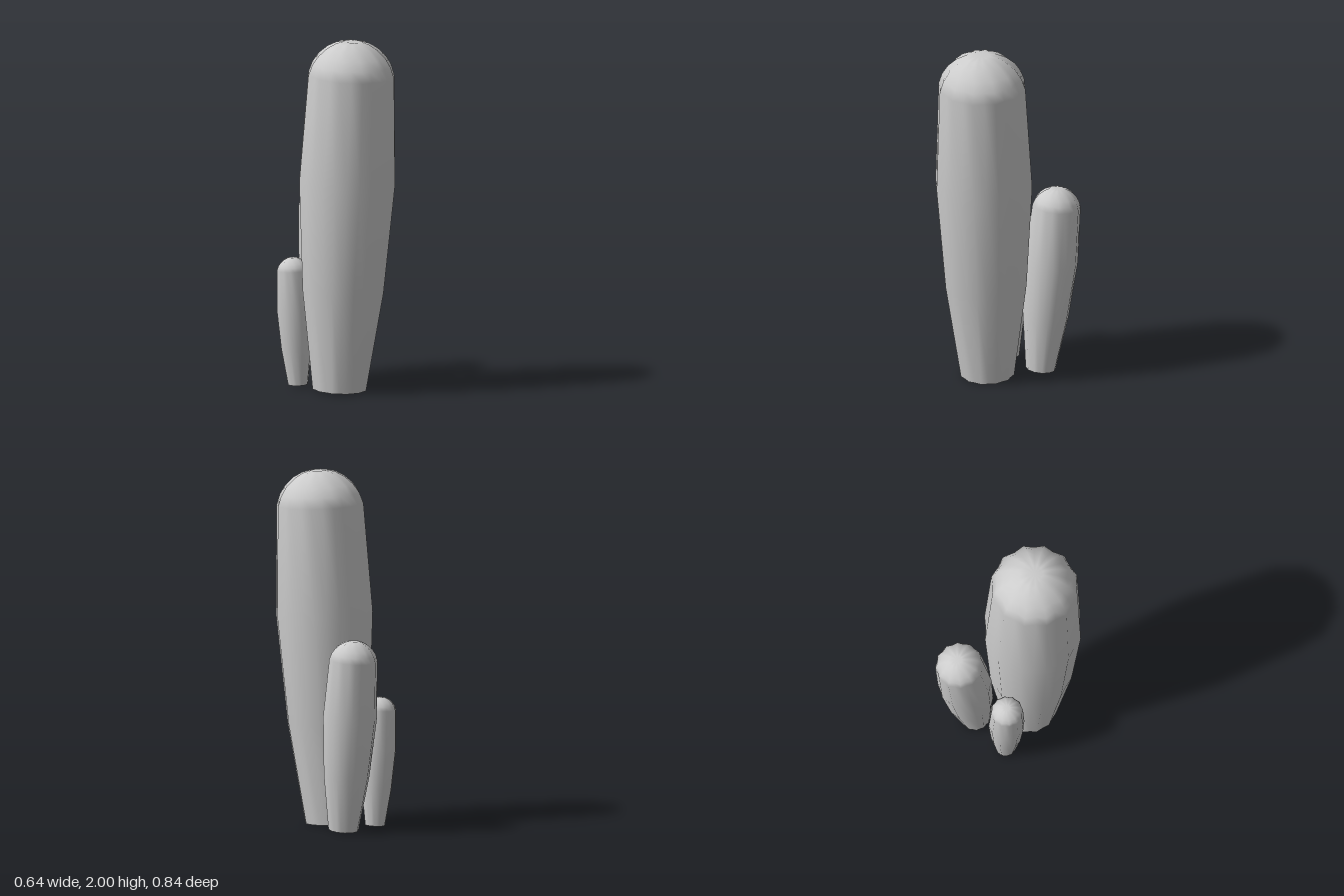
import * as THREE from 'three';
import { mergeVertices } from 'three/addons/utils/BufferGeometryUtils.js';

const RIBS = 12;

// Stem profile at full size: [radius, height, groove depth factor]
const PROFILE = [
  [0.155, 0, 0.95], [0.235, 0.57, 0.95], [0.278, 1.19, 0.95], [0.249, 1.8, 0.94],
  [0.228, 1.86, 0.93], [0.195, 1.91, 0.91], [0.145, 1.955, 0.88],
  [0.095, 1.982, 0.85], [0.05, 1.992, 0.85], [0, 1.985, 1],
];

// Pull every second vertex column inward to form the grooves between ribs
function stemGeometry() {
  const points = PROFILE.map(([r, y]) => new THREE.Vector2(r, y));
  const lathe = new THREE.LatheGeometry(points, RIBS * 2);
  const pos = lathe.attributes.position;
  for (let i = 0; i < pos.count; i++) {
    const column = Math.floor(i / PROFILE.length);
    const k = column % 2 ? PROFILE[i % PROFILE.length][2] : 1;
    pos.setX(i, pos.getX(i) * k);
    pos.setZ(i, pos.getZ(i) * k);
  }
  lathe.deleteAttribute('uv');
  lathe.deleteAttribute('normal');
  const geometry = mergeVertices(lathe, 1e-5);
  geometry.computeVertexNormals();
  return geometry;
}

// Flat ribbed disc closing the foot
function footGeometry() {
  const [r, , groove] = PROFILE[0];
  const disc = new THREE.CircleGeometry(r, RIBS * 2);
  const pos = disc.attributes.position;
  for (let i = 2; i < pos.count; i += 2) {
    pos.setXY(i, pos.getX(i) * groove, pos.getY(i) * groove);
  }
  disc.rotateX(Math.PI / 2);
  return disc;
}

export function createModel() {
  const model = new THREE.Group();
  model.name = 'cactusCluster';
  const material = new THREE.MeshStandardMaterial({ color: 0xcccccc });
  const stem = stemGeometry();
  const foot = footGeometry();
  const up = new THREE.Vector3(0, 1, 0);

  // Same cactus at three sizes, each leaning from its base toward its tip
  const cacti = [
    { name: 'tallCactus', base: [0, 0.008, 0.115], tip: [0.067, 2, 0.163], scale: 1, turn: 5 },
    { name: 'mediumCactus', base: [0.008, 0.008, -0.19], tip: [-0.03, 1.093, -0.3], scale: 0.546, turn: -8 },
    { name: 'smallCactus', base: [-0.205, 0.008, -0.06], tip: [-0.238, 0.732, -0.058], scale: 0.364, turn: -3 },
  ];
  for (const { name, base, tip, scale, turn } of cacti) {
    const cactus = new THREE.Group();
    cactus.name = name;
    cactus.position.set(...base);
    cactus.scale.setScalar(scale);
    const lean = new THREE.Vector3(...tip).sub(cactus.position).normalize();
    cactus.quaternion.setFromUnitVectors(up, lean);
    cactus.rotateY(THREE.MathUtils.degToRad(turn));
    for (const [part, geometry] of [['ribbedStem', stem], ['foot', foot]]) {
      const mesh = new THREE.Mesh(geometry, material);
      mesh.name = part;
      cactus.add(mesh);
    }
    model.add(cactus);
  }
  return model;
}
